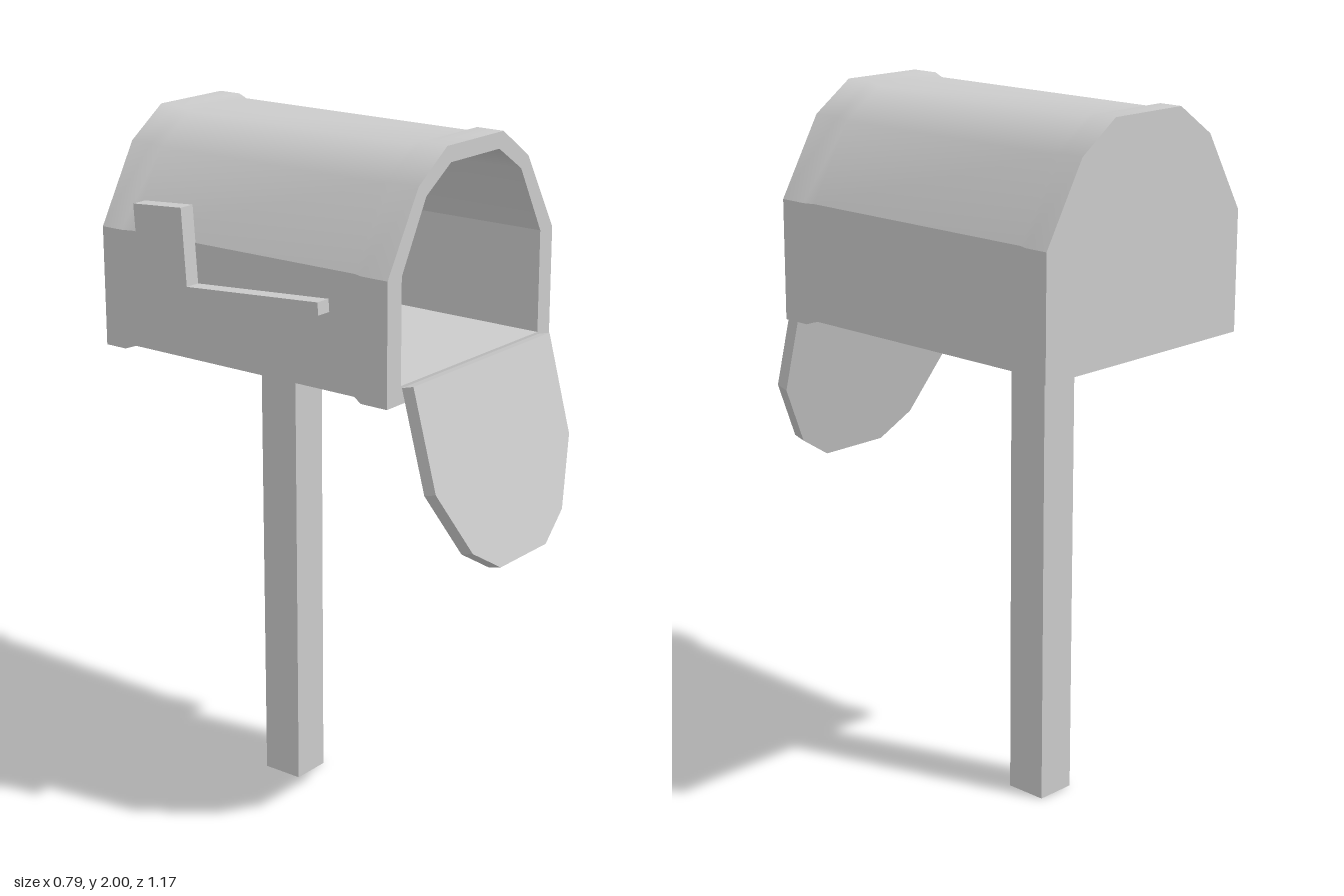
import * as THREE from 'three';

const CX = 0.016; // centre line of the box
const material = new THREE.MeshStandardMaterial({ color: 0xcccccc });

function add(parent, name, geometry, x = 0, y = 0, z = 0) {
  const mesh = new THREE.Mesh(geometry, material);
  mesh.name = name;
  mesh.position.set(x, y, z);
  parent.add(mesh);
  return mesh;
}

// Right half of an arch, mirrored into a full counter-clockwise outline.
const mirror = (half) => [...half, ...half.map(([x, y]) => [-x, y]).reverse()];
const toShape = (points) => new THREE.Shape(points.map(([x, y]) => new THREE.Vector2(x, y)));

// Sweeps an open outline along z through stations [z, scale]; scaling is about midY.
function loft(points, stations, midY = 0) {
  const positions = [], index = [], n = points.length;
  stations.forEach(([z, s], j) => {
    points.forEach(([x, y], i) => {
      positions.push(x * s, midY + (y - midY) * s, z);
      if (i < n - 1 && j < stations.length - 1) {
        const a = j * n + i;
        index.push(a, a + 1, a + n, a + 1, a + n + 1, a + n);
      }
    });
  });
  const geometry = new THREE.BufferGeometry();
  geometry.setAttribute('position', new THREE.Float32BufferAttribute(positions, 3));
  geometry.setIndex(index);
  geometry.computeVertexNormals();
  return geometry;
}

// Smooth arch, with the two walls and the floor creased off it.
function addTunnel(parent, name, p, stations, midY) {
  const strips = {
    Arch: p.slice(1, 7),
    RightWall: [p[0], p[1]],
    LeftWall: [p[6], p[7]],
    Floor: [p[7], p[0]],
  };
  for (const key in strips) add(parent, name + key, loft(strips[key], stations, midY), CX);
}

export function createModel() {
  const model = new THREE.Group();
  model.name = 'mailbox';

  const outer = mirror([[0.38, 1.355], [0.38, 1.695], [0.251, 1.915], [0.128, 2.0]]);
  const inner = mirror([[0.32, 1.405], [0.32, 1.695], [0.217, 1.885], [0.11, 1.955]]);
  const back = -0.585, front = 0.4, innerBack = -0.55;

  // Box shell with flared ends
  const box = new THREE.Group();
  box.name = 'box';
  model.add(box);
  const flare = [[back, 1], [-0.515, 1], [-0.485, 0.968], [0.285, 0.968], [0.315, 1], [front, 1]];
  addTunnel(box, 'outer', outer, flare, 1.6775);
  addTunnel(box, 'inner', inner, [[front, 1], [innerBack, 1]]);

  // Front rim, back wall and inside of the back wall
  const rim = toShape(outer);
  rim.holes.push(toShape(inner));
  add(box, 'frontRim', new THREE.ShapeGeometry(rim), CX, 0, front);
  add(box, 'backWall', new THREE.ShapeGeometry(toShape(outer)).rotateY(Math.PI), CX, 0, back);
  add(box, 'innerBackWall', new THREE.ShapeGeometry(toShape(inner)), CX, 0, innerBack);

  // Door, shaped like the opening and hanging open from its bottom edge
  const doorShape = toShape(inner.map(([x, y]) => [x, y - 1.405]));
  const doorGeometry = new THREE.ExtrudeGeometry(doorShape, { depth: 0.038, bevelEnabled: false });
  const door = add(model, 'door', doorGeometry, CX, 1.41, 0.44);
  door.rotation.x = THREE.MathUtils.degToRad(165);

  // Signal flag: long arm with an upright plate at the back, slightly tilted
  const flagShape = toShape([
    [0, 0], [0, 0.035], [-0.45, 0.035], [-0.45, 0.25], [-0.6225, 0.25], [-0.6225, 0],
  ]);
  const flagGeometry = new THREE.ExtrudeGeometry(flagShape, { depth: 0.048, bevelEnabled: false });
  flagGeometry.rotateZ(0.07).rotateY(-Math.PI / 2);
  add(model, 'flag', flagGeometry, -0.35, 1.58, 0.203);

  // Post
  add(model, 'post', new THREE.BoxGeometry(0.12, 1.366, 0.124), 0.011, 0.683, -0.221);

  return model;
}
